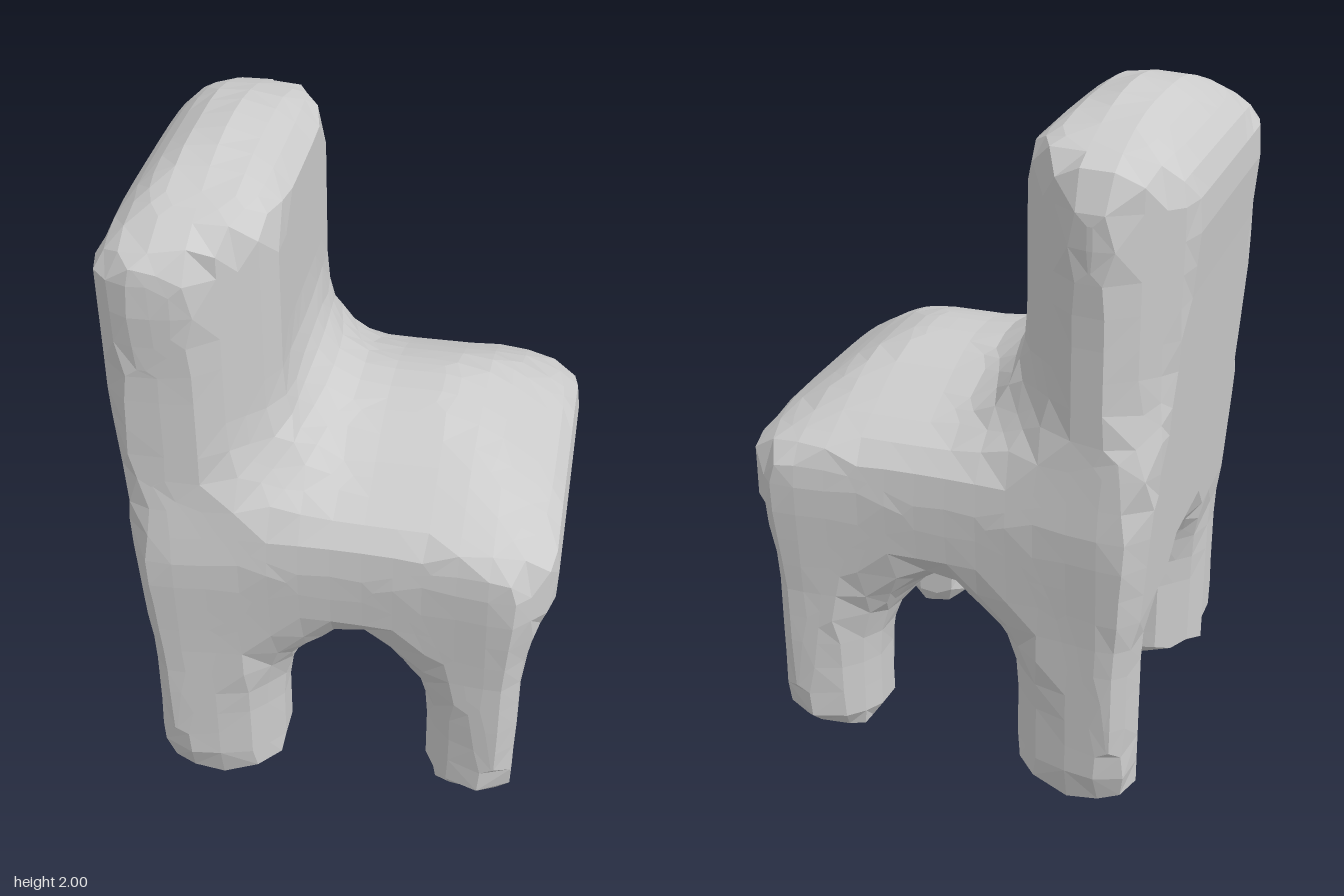
import * as THREE from 'three';

const H = 0.0875; // facet size
const { abs, max, min, hypot, sqrt, SQRT2 } = Math;

// smooth union of two distances
function blend(a, b, k) {
  const h = max(k - abs(a - b), 0) / k;
  return min(a, b) - h * h * k * 0.25;
}

// linear interpolation through [y, value] pairs
function profile(points, y) {
  if (y <= points[0][0]) return points[0][1];
  for (let i = 1; i < points.length; i++) {
    const [y0, v0] = points[i - 1], [y1, v1] = points[i];
    if (y <= y1) return v0 + (v1 - v0) * (y - y0) / (y1 - y0);
  }
  return points[points.length - 1][1];
}

const BACK = [[0.2, 0.53], [0.5, 0.535], [1, 0.57], [1.5, 0.6], [1.75, 0.62], [1.9, 0.59]];
const FRONT = [[0.2, 0.53], [0.45, 0.54], [0.75, 0.6], [0.88, 0.62], [1, 0.605]];
const SIDE = [[0.2, 0.525], [0.6, 0.535], [0.9, 0.555], [1.15, 0.525], [1.5, 0.525], [1.75, 0.54], [1.85, 0.525]];

// outer limits shared by all parts, pinched mid-side, with chamfered corners
function hull(x, y, z) {
  const pinch = 0.03 * max(0, 1 - (x / 0.45) ** 2);
  return max(x - profile(FRONT, y), -x - profile(BACK, y), abs(z) - profile(SIDE, y) + pinch,
    (abs(x) + abs(z) - 1.06) / SQRT2);
}

// domed cushion with a rounded belly
function seat(x, y, z) {
  const across = (z / 0.53) ** 2;
  const top = 1.235 - 0.27 * hypot(across, (max(x - 0.2, 0) / 0.4) ** 2);
  const spread = hypot(across, ((x - 0.04) / 0.59) ** 2);
  const belly = 0.565 + 0.33 * (1 - sqrt(max(0, 1 - spread)));
  return max((y - top) * 0.8, (belly - y) * 0.8, hull(x, y, z));
}

// thick upright slab with wide front chamfers and a crowned top
function backrest(x, y, z) {
  const top = 2.0 - 0.14 * hypot(((z + 0.02) / 0.53) ** 2, ((x + 0.36) / 0.225) ** 2);
  return max(x + 0.16, (x + abs(z) - 0.18) / SQRT2, (-x - z - 0.98) / SQRT2,
    (y - top) * 0.8, 0.75 - y, hull(x, y, z));
}

// leg stretched along the diagonal, flaring upward, with a tapered foot
function leg(x, y, z, isBack) {
  const cx = isBack ? -0.35 : 0.4, halfX = isBack ? 0.18 : 0.135, halfZ = 0.145;
  const dx = isBack ? cx - x : x - cx, dz = abs(z) - 0.385; // positive outward
  const flare = 0.6 * max(0, y - 0.3) ** 2;
  const diagonal = abs(dx - dz) / SQRT2 - (isBack ? 0.14 : 0.118) - flare;
  const corner = isBack ? (-x - z - 1.01) / SQRT2 : -1;
  const foot = (isBack ? -0.005 : 0.07) + (isBack ? 0.11 : 0.035) * ((dx / halfX) ** 2 + (dz / halfZ) ** 2) / 2;
  return max(dx - halfX, -dx - halfX - flare, dz - halfZ, -dz - halfZ - flare,
    diagonal, corner, foot - y, y - 0.95);
}

// whole blended body
function body(x, y, z) {
  let d = blend(seat(x, y, z), min(leg(x, y, z, false), leg(x, y, z, true)), 0.27);
  d = blend(d, backrest(x, y, z), 0.24);
  return max(d, hull(x, y, z));
}

// name of the part a surface point belongs to
function partAt(x, y, z) {
  if (y < 0.65) return (z > 0 ? 'front' : 'back') + (x > 0 ? 'Left' : 'Right') + 'Leg';
  return backrest(x, y, z) < seat(x, y, z) ? 'backrest' : 'seat';
}

// pull a point onto the surface
function settle(p) {
  const e = 0.004;
  for (let i = 0; i < 3; i++) {
    const d = body(p.x, p.y, p.z);
    const g = new THREE.Vector3(
      body(p.x + e, p.y, p.z) - body(p.x - e, p.y, p.z),
      body(p.x, p.y + e, p.z) - body(p.x, p.y - e, p.z),
      body(p.x, p.y, p.z + e) - body(p.x, p.y, p.z - e)).divideScalar(2 * e);
    p.addScaledVector(g, -THREE.MathUtils.clamp(d, -0.04, 0.04) / max(g.lengthSq(), 0.3));
  }
  return p;
}

export function createModel() {
  const N = [19, 28, 18];
  const origin = [-9.5 * H, -2 * H, -9 * H];
  const at = (i, j, k) => [origin[0] + i * H, origin[1] + j * H, origin[2] + k * H];
  const id = (i, j, k) => (i * (N[1] + 1) + j) * (N[2] + 1) + k;
  const each = (fn) => {
    for (let i = 0; i < N[0]; i++)
      for (let j = 0; j < N[1]; j++)
        for (let k = 0; k < N[2]; k++) fn(i, j, k);
  };

  // sample the body on a lattice
  const field = [];
  for (let i = 0; i <= N[0]; i++)
    for (let j = 0; j <= N[1]; j++)
      for (let k = 0; k <= N[2]; k++) field[id(i, j, k)] = body(...at(i, j, k));

  // one vertex in each lattice cell crossed by the surface
  const vertices = new Map();
  each((i, j, k) => {
    const sum = new THREE.Vector3();
    let count = 0;
    for (let axis = 0; axis < 3; axis++)
      for (let n = 0; n < 4; n++) {
        const a = [i, j, k];
        a[(axis + 1) % 3] += n & 1;
        a[(axis + 2) % 3] += n >> 1;
        const b = a.slice();
        b[axis]++;
        const fa = field[id(...a)], fb = field[id(...b)];
        if ((fa < 0) === (fb < 0)) continue;
        const A = new THREE.Vector3(...at(...a)), B = new THREE.Vector3(...at(...b));
        sum.add(A.lerp(B, fa / (fa - fb)));
        count++;
      }
    if (count) vertices.set(id(i, j, k), settle(sum.divideScalar(count)));
  });

  // join the four cells around each crossed lattice edge, sorted by part
  const parts = {};
  each((i, j, k) => {
    for (let axis = 0; axis < 3; axis++) {
      const a = [i, j, k], b = [i, j, k];
      b[axis]++;
      const inside = field[id(...a)] < 0;
      if (inside === field[id(...b)] < 0) continue;
      const u = (axis + 1) % 3, w = (axis + 2) % 3;
      const quad = [[0, 0], [1, 0], [1, 1], [0, 1]].map(([du, dw]) => {
        const c = a.slice();
        c[u] -= 1 - du;
        c[w] -= 1 - dw;
        return vertices.get(id(...c));
      });
      if (!inside) quad.reverse();
      const mid = quad[0].clone().add(quad[2]).multiplyScalar(0.5);
      const list = (parts[partAt(mid.x, mid.y, mid.z)] ??= []);
      const short = quad[0].distanceTo(quad[2]) <= quad[1].distanceTo(quad[3]);
      for (const n of short ? [0, 1, 2, 0, 2, 3] : [0, 1, 3, 1, 2, 3]) list.push(quad[n]);
    }
  });

  const material = new THREE.MeshStandardMaterial({ color: 0xcccccc, flatShading: true });
  const group = new THREE.Group();
  group.name = 'chair';
  for (const [name, points] of Object.entries(parts)) {
    const geometry = new THREE.BufferGeometry().setFromPoints(points);
    geometry.computeVertexNormals();
    const mesh = new THREE.Mesh(geometry, material);
    mesh.name = name;
    group.add(mesh);
  }
  return group;
}
